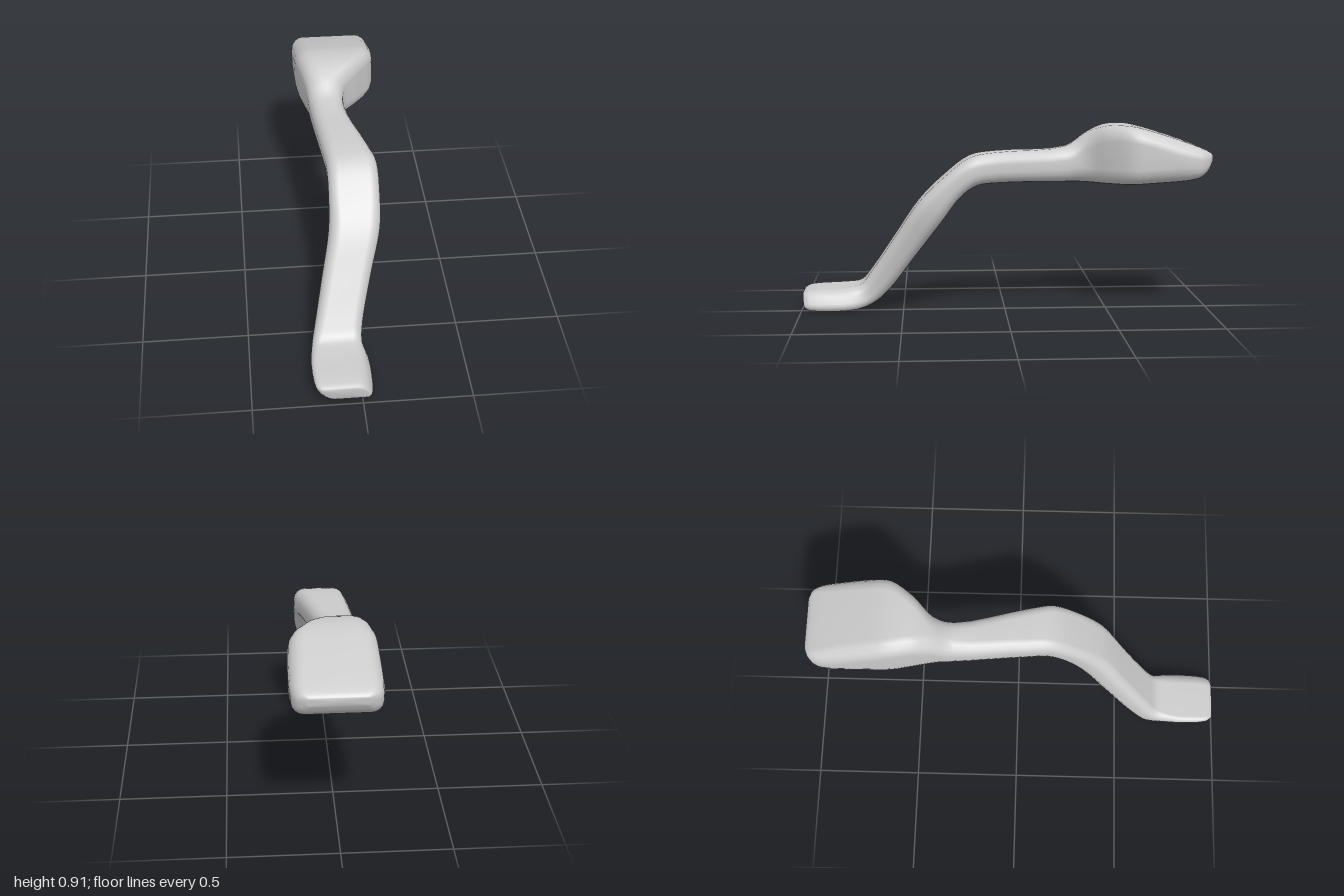
import * as THREE from 'three';

// Cross-sections from the front foot to the rear head:
// [left x, right x, top z, top y, bottom z, bottom y]
const SECTIONS = [
  [-0.175, 0.02, 0.995, 0.085, 0.985, 0.02],
  [-0.2, 0.037, 0.965, 0.098, 0.955, 0.006],
  [-0.212, 0.043, 0.78, 0.11, 0.73, 0.008],
  [-0.208, 0.027, 0.71, 0.125, 0.645, 0.036],
  [-0.19, 0.035, 0.66, 0.185, 0.57, 0.1],
  [-0.145, 0.085, 0.54, 0.365, 0.435, 0.28],
  [-0.102, 0.14, 0.42, 0.545, 0.305, 0.455],
  [-0.092, 0.149, 0.3, 0.665, 0.215, 0.575],
  [-0.092, 0.148, 0.17, 0.762, 0.14, 0.625],
  [-0.103, 0.12, 0.04, 0.783, 0.03, 0.635],
  [-0.135, 0.038, -0.3, 0.803, -0.31, 0.628],
  [-0.145, 0.042, -0.4, 0.868, -0.4, 0.625],
  [-0.165, 0.125, -0.49, 0.907, -0.5, 0.625],
  [-0.185, 0.2, -0.6, 0.91, -0.6, 0.628],
  [-0.19, 0.213, -0.7, 0.887, -0.7, 0.634],
  [-0.188, 0.207, -0.93, 0.81, -0.92, 0.658],
  [-0.165, 0.185, -0.98, 0.787, -0.965, 0.69],
  [-0.12, 0.14, -0.998, 0.77, -0.995, 0.735],
];
const STEPS = 4, CORNER = 5;

// Rounded-rectangle ring lying between a top line and a bottom line
function ring(top, bottom) {
  const up = new THREE.Vector3(0, top.y - bottom.y, top.z - bottom.z);
  const h = up.length() / 2, w = (bottom.x - top.x) / 2;
  const centre = top.clone().add(bottom).multiplyScalar(0.5);
  const r = Math.min(0.075, h * 0.75);
  // The foot leans sideways
  const skew = 0.024 * THREE.MathUtils.smoothstep(centre.z, 0.65, 0.8);
  up.normalize();
  const points = [];
  for (let c = 0; c < 4; c++) {
    const sx = c === 0 || c === 3 ? 1 : -1, sv = c < 2 ? 1 : -1;
    for (let k = 0; k < CORNER; k++) {
      const a = (c + k / (CORNER - 1)) * Math.PI / 2;
      const u = sx * (w - r) + r * Math.cos(a);
      const v = sv * (h - r) + r * Math.sin(a);
      const p = centre.clone().addScaledVector(up, v);
      p.x += u - skew * v / h;
      points.push(p);
    }
  }
  return points;
}

// Skin through the rings, closed with a fan at each end
function loft(rings) {
  const n = rings[0].length, index = [];
  const points = rings.flat();
  for (let i = 0; i < rings.length - 1; i++) {
    for (let j = 0; j < n; j++) {
      const a = i * n + j, b = i * n + (j + 1) % n;
      index.push(a, a + n, b, b, a + n, b + n);
    }
  }
  for (const [i, front] of [[0, true], [rings.length - 1, false]]) {
    const centre = new THREE.Vector3();
    rings[i].forEach(p => centre.addScaledVector(p, 1 / n));
    const m = points.push(centre) - 1;
    for (let j = 0; j < n; j++) {
      const a = i * n + j, b = i * n + (j + 1) % n;
      index.push(m, front ? a : b, front ? b : a);
    }
  }
  const geometry = new THREE.BufferGeometry().setFromPoints(points);
  geometry.setIndex(index);
  geometry.computeVertexNormals();
  return geometry;
}

export function createModel() {
  const group = new THREE.Group();
  // Guide curves: upper-left edge and lower-right edge
  const topCurve = new THREE.CatmullRomCurve3(SECTIONS.map(s => new THREE.Vector3(s[0], s[3], s[2])));
  const bottomCurve = new THREE.CatmullRomCurve3(SECTIONS.map(s => new THREE.Vector3(s[1], s[5], s[4])));
  const count = (SECTIONS.length - 1) * STEPS;
  const rings = [];
  for (let i = 0; i <= count; i++) {
    rings.push(ring(topCurve.getPoint(i / count), bottomCurve.getPoint(i / count)));
  }
  // One continuous body: foot, sloping shank, neck and wide head
  const lever = new THREE.Mesh(loft(rings), new THREE.MeshStandardMaterial({ color: 0xcccccc }));
  lever.name = 'curvedLever';
  group.add(lever);
  return group;
}
